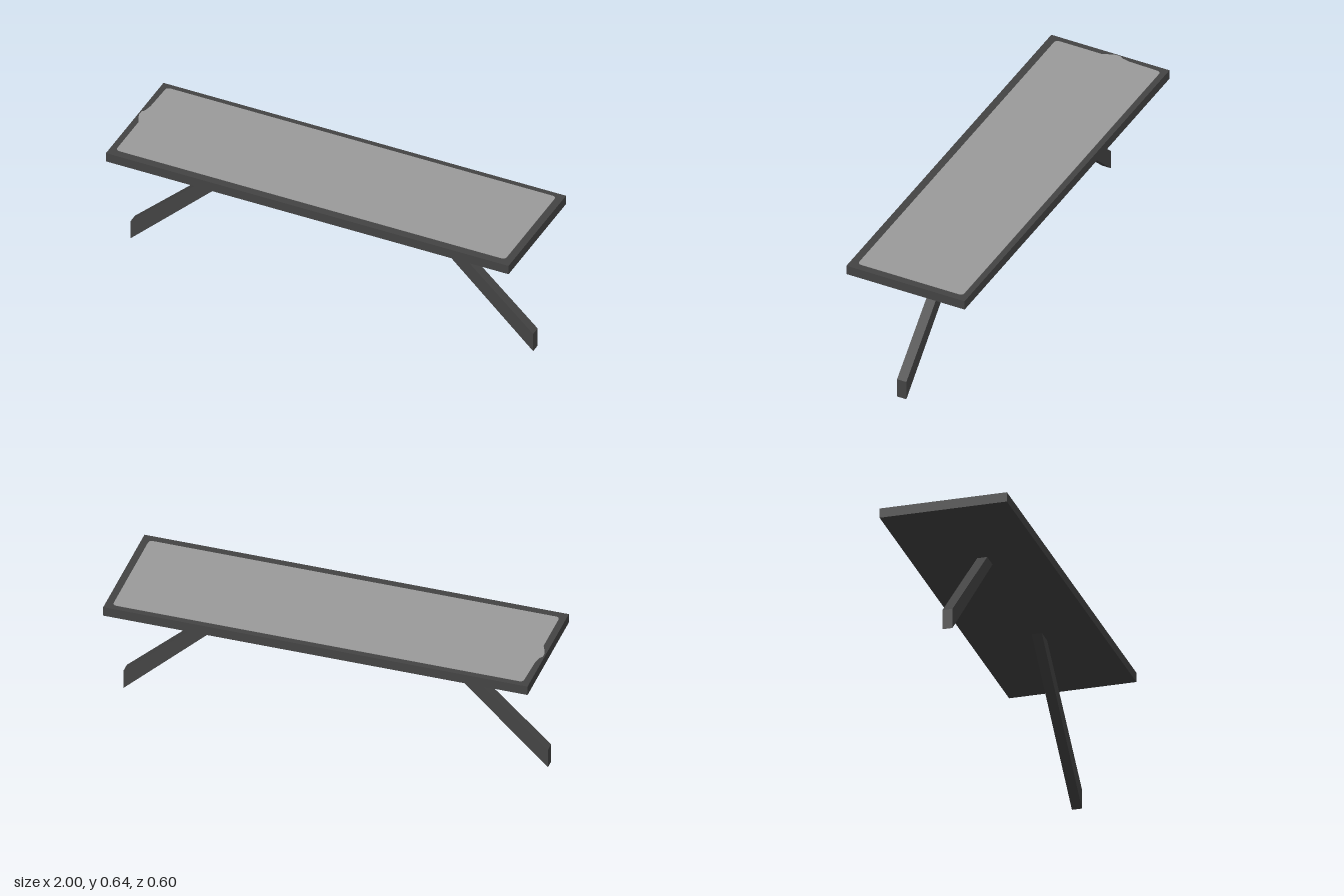
import * as THREE from 'three';

const darkMetal = new THREE.MeshStandardMaterial({ color: 0x444444 });
darkMetal.name = 'dark metal';
const greyPanel = new THREE.MeshStandardMaterial({ color: 0x9b9b9b });
greyPanel.name = 'grey panel';

function addMesh(parent, name, geometry, material) {
  const mesh = new THREE.Mesh(geometry, material);
  mesh.name = name;
  parent.add(mesh);
  return mesh;
}

// Rounded inlay outline; shape y is -z, with a small notch on the -x edge
function inlayShape() {
  const l = -0.97, r = 0.965, b = -0.26, t = 0.27, c = 0.02;
  const s = new THREE.Shape();
  s.moveTo(l + c, b);
  s.lineTo(r - c, b);
  s.quadraticCurveTo(r, b, r, b + c);
  s.lineTo(r, t - c);
  s.quadraticCurveTo(r, t, r - c, t);
  s.lineTo(l + c, t);
  s.quadraticCurveTo(l, t, l, t - c);
  s.lineTo(-0.974, 0.11);
  s.lineTo(-0.982, 0.07);
  s.lineTo(-0.993, 0.055);
  s.lineTo(-0.993, 0.03);
  s.lineTo(-0.984, 0.005);
  s.lineTo(l, -0.025);
  s.lineTo(l, b + c);
  s.quadraticCurveTo(l, b, l + c, b);
  return s;
}

// Slanted leg with a level top and an upright foot end
function legGeometry(side) {
  const pts = [[0.38, 0.591], [1, 0], [1, 0.095], [0.463, 0.591]];
  const shape = new THREE.Shape(pts.map(([x, y]) => new THREE.Vector2(side * x, y)));
  const geo = new THREE.ExtrudeGeometry(shape, { depth: 0.047, bevelEnabled: false });
  return geo.translate(0, 0, -0.004);
}

export function createModel() {
  const group = new THREE.Group();
  group.name = 'bench';

  // Top slab
  const slab = addMesh(group, 'slab', new THREE.BoxGeometry(2, 0.046, 0.596), darkMetal);
  slab.position.y = 0.614;

  // Thin inlaid panel
  const inlay = new THREE.ExtrudeGeometry(inlayShape(), { depth: 0.003, bevelEnabled: false, curveSegments: 5 });
  inlay.rotateX(-Math.PI / 2);
  addMesh(group, 'inlayPanel', inlay, greyPanel).position.y = 0.636;

  // Splayed legs
  addMesh(group, 'leftLeg', legGeometry(1), darkMetal);
  addMesh(group, 'rightLeg', legGeometry(-1), darkMetal);

  return group;
}
